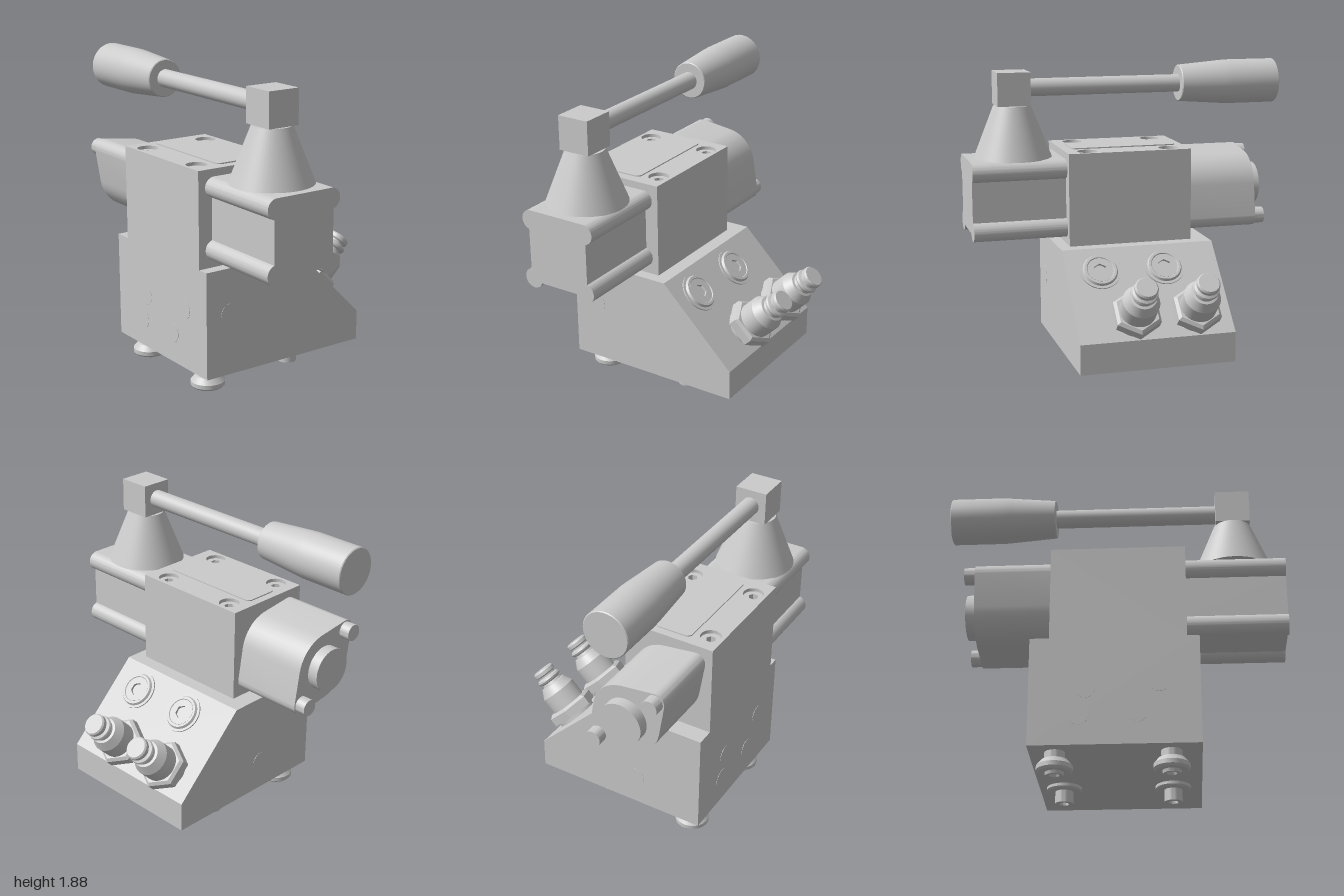
import * as THREE from 'three';
import { toCreasedNormals } from 'three/addons/utils/BufferGeometryUtils.js';
import { ConvexGeometry } from 'three/addons/geometries/ConvexGeometry.js';

const grey = new THREE.MeshStandardMaterial({ color: 0xcccccc });
const AXIS_X = -0.37; // centre line of the valve body, end housings and lever
const AXIS_Y = 1.067;

function add(parent, name, geometry, x = 0, y = 0, z = 0) {
  const mesh = new THREE.Mesh(toCreasedNormals(geometry, 0.45), grey);
  mesh.name = name;
  mesh.position.set(x, y, z);
  parent.add(mesh);
  return mesh;
}

function group(parent, name, x, y, z) {
  const g = new THREE.Group();
  g.name = name;
  g.position.set(x, y, z);
  parent.add(g);
  return g;
}

const lathe = (points, sides = 40) =>
  new THREE.LatheGeometry(points.map(([r, y]) => new THREE.Vector2(r, y)), sides);

const extrude = (shape, depth) =>
  new THREE.ExtrudeGeometry(shape, { depth, bevelEnabled: false, curveSegments: 20 });

function circlePath(x, y, r) {
  const p = new THREE.Path();
  p.absarc(x, y, r, 0, Math.PI * 2, true);
  return p;
}

function roundedRect(w, h, r) {
  const s = new THREE.Shape();
  const a = w / 2 - r, b = h / 2 - r, q = Math.PI / 2;
  [[a, b], [-a, b], [-a, -b], [a, -b]].forEach(([x, y], i) => s.absarc(x, y, r, i * q, (i + 1) * q));
  return s;
}

// Round head with a hexagonal key socket, standing on y = 0
function socketHead(parent, name, r, hexR, h) {
  const disc = new THREE.Shape().absarc(0, 0, r, 0, Math.PI * 2);
  const hex = Array.from({ length: 6 }, (_, i) =>
    new THREE.Vector2(hexR * Math.cos(i * Math.PI / 3), hexR * Math.sin(i * Math.PI / 3)));
  disc.holes.push(new THREE.Path(hex.reverse()));
  add(parent, name, extrude(disc, h).rotateX(-Math.PI / 2));
  add(parent, name + 'Floor', new THREE.CylinderGeometry(hexR, hexR, 0.004, 6), 0, 0.002);
}

// Manifold block with sloping port face and flush plugs
function buildManifold(model) {
  const side = new THREE.Shape([[-0.66, 0.135], [0.46, 0.135], [0.46, 0.32], [0, 0.78], [-0.66, 0.78]]
    .map(([x, y]) => new THREE.Vector2(x, y)));
  add(model, 'manifold', extrude(side, 0.96), 0, 0, -0.47);
  const plug = () => new THREE.CylinderGeometry(0.058, 0.058, 0.006, 32);
  add(model, 'frontPlug', plug().rotateX(Math.PI / 2), -0.5, 0.51, 0.489);
  add(model, 'backPlug', plug().rotateX(Math.PI / 2), -0.22, 0.33, -0.469);
  for (const [y, z] of [[0.47, -0.155], [0.5, 0.26], [0.32, 0.135], [0.31, -0.19]])
    add(model, 'sidePlug', plug().rotateZ(Math.PI / 2), -0.659, y, z);
}

// Socket plugs and hose couplings standing square to the slope
function buildPorts(model) {
  for (const z of [0.28, -0.125]) {
    const g = group(model, 'portPlug', 0.115, 0.665, z);
    g.rotation.z = -Math.PI / 4;
    add(g, 'plugFlange', lathe([[0.125, 0], [0.125, 0.008], [0.108, 0.008], [0.1, 0.022], [0.085, 0.022], [0.08, 0.015], [0.06, 0.015]]));
    socketHead(g, 'plugSocket', 0.081, 0.042, 0.018);
  }
  for (const z of [0.13, -0.245]) {
    const g = group(model, 'hoseCoupling', 0.355, 0.425, z);
    g.rotation.z = -Math.PI / 4;
    const hex = (top, bottom, h) => new THREE.CylinderGeometry(top, bottom, h, 6).rotateY(Math.PI / 2);
    add(g, 'couplingWasher', new THREE.CylinderGeometry(0.125, 0.125, 0.03, 36), 0, 0.012);
    add(g, 'couplingNut', hex(0.155, 0.155, 0.055), 0, 0.05);
    add(g, 'couplingNutChamfer', hex(0.135, 0.155, 0.017), 0, 0.086);
    add(g, 'couplingBody', lathe([
      [0, 0.08], [0.112, 0.08], [0.112, 0.2], [0.082, 0.255], [0.066, 0.258], [0.06, 0.275],
      [0.075, 0.283], [0.08, 0.295], [0.075, 0.307], [0.058, 0.315], [0.058, 0.325],
      [0.07, 0.333], [0.07, 0.355], [0.062, 0.365], [0, 0.365]]));
  }
}

// Valve body with four sunk bolts and a cover plate
function buildValveBody(model) {
  const block = new THREE.Shape([[-0.66, -0.42], [-0.085, -0.42], [-0.085, 0.36], [-0.66, 0.36]]
    .map(([x, y]) => new THREE.Vector2(x, y)));
  const bolts = [-0.58, -0.165].flatMap(x => [-0.235, 0.285].map(z => [x, z]));
  bolts.forEach(([x, z]) => block.holes.push(circlePath(x, -z, 0.062)));
  add(model, 'valveBody', extrude(block, 0.575).rotateX(-Math.PI / 2), 0, 0.78, 0);
  for (const [x, z] of bolts) {
    const g = group(model, 'bodyBolt', x, 1.29, z);
    socketHead(g, 'boltHead', 0.06, 0.03, 0.045);
  }
  add(model, 'coverPlate', extrude(roundedRect(0.23, 0.67, 0.03), 0.01).rotateX(-Math.PI / 2), AXIS_X, 1.352, 0.025);
}

// Front housing: recessed sides between four round corner ribs
function buildFrontHousing(model) {
  const a = 0.185, b = 0.183, r = 0.06, d = Math.PI / 180;
  const s = new THREE.Shape();
  s.absarc(a, -b, r, 199 * d, 435.5 * d);
  s.absarc(a, b, r, -75.5 * d, 90 * d);
  s.absarc(-a, b, r, 90 * d, 255.5 * d);
  s.absarc(-a, -b, r, 104.5 * d, 341 * d);
  add(model, 'frontHousing', extrude(s, 0.58), AXIS_X, AXIS_Y, 0.42);
}

// Rear cap: skin stretched over a central barrel and two diagonal bosses
function buildRearCap(model) {
  const circles = [[0, 0, 0.215], [-0.185, 0.18, 0.06], [0.185, -0.18, 0.06]];
  const points = [];
  for (const [x, y, r] of circles)
    for (let i = 0; i < 40; i++) {
      const t = i * Math.PI / 20;
      for (const z of [-0.81, -0.36])
        points.push(new THREE.Vector3(x + r * Math.cos(t), y + r * Math.sin(t), z));
    }
  add(model, 'rearCap', new ConvexGeometry(points), AXIS_X, AXIS_Y, 0);
  circles.forEach(([x, y], i) => {
    const r = i ? 0.051 : 0.135;
    add(model, i ? 'rearCapScrew' : 'rearCapBoss',
      new THREE.CylinderGeometry(r, r, 0.08, 36).rotateX(Math.PI / 2), AXIS_X + x, AXIS_Y + y, -0.835);
  });
}

// Lever with conical boot, cube joint and tapered grip
function buildLever(model) {
  const y = 1.735;
  add(model, 'leverBoot', new THREE.CylinderGeometry(0.115, 0.242, 0.322, 48), AXIS_X, 1.469, 0.71);
  add(model, 'leverJoint', new THREE.BoxGeometry(0.2, 0.205, 0.205), AXIS_X, y, 0.712);
  add(model, 'leverRod', new THREE.CylinderGeometry(0.055, 0.055, 1, 32).rotateX(Math.PI / 2), AXIS_X, y, 0.125);
  add(model, 'leverGrip', lathe([[0, 0], [0.11, 0], [0.115, 0.005], [0.137, 0.28], [0.14, 0.33], [0.14, 0.635], [0.135, 0.64], [0, 0.64]], 48)
    .rotateX(-Math.PI / 2), AXIS_X, y, -0.36);
}

// Mounting bolts under the manifold: long ones at the left row, short at the right
function buildFeet(model) {
  for (const z of [0.32, -0.325]) {
    add(model, 'longFoot', lathe([
      [0.02, 0.025], [0.028, 0.003], [0.05, 0], [0.054, 0.018], [0.09, 0.018], [0.102, 0.03],
      [0.102, 0.055], [0.075, 0.088], [0.058, 0.092], [0.058, 0.14]]), -0.54, 0, z);
    add(model, 'longFootSocket', new THREE.CylinderGeometry(0.028, 0.028, 0.01, 6), 0 - 0.54, 0.028, z);
    add(model, 'shortFoot', lathe([
      [0, 0.06], [0.028, 0.06], [0.028, 0.037], [0.054, 0.037], [0.054, 0.11], [0.095, 0.11], [0.105, 0.118], [0.105, 0.138]]), 0.05, 0, z);
  }
}

export function createModel() {
  const model = new THREE.Group();
  model.name = 'handLeverValve';
  [buildManifold, buildPorts, buildValveBody, buildFrontHousing, buildRearCap, buildLever, buildFeet]
    .forEach(build => build(model));
  return model;
}
